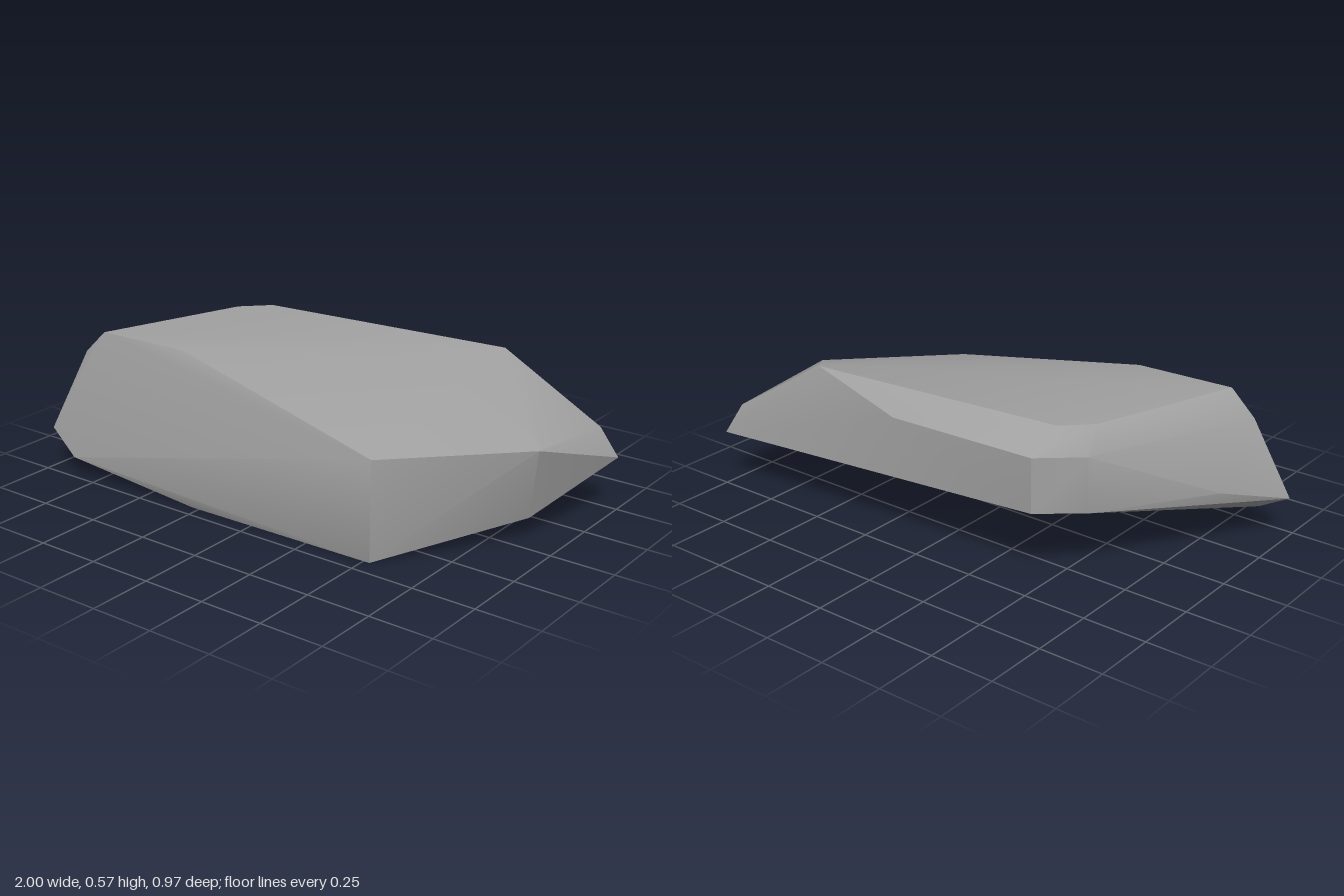
import * as THREE from 'three';
import { ConvexGeometry } from 'three/addons/geometries/ConvexGeometry.js';
import { toCreasedNormals } from 'three/addons/utils/BufferGeometryUtils.js';

export function createModel() {
  const stone = new THREE.MeshStandardMaterial({ color: 0xa0a0a0 });
  stone.name = 'grey stone';

  // Corners of the faceted slab, ring by ring
  const top = [
    [-0.78, 0.575, 0.365], [-0.39, 0.575, 0.35], [0.55, 0.575, -0.4],
    [-0.49, 0.575, -0.31], [-0.59, 0.575, -0.21],
  ];
  const shoulder = [
    [-0.88, 0.48, 0.365], [0.525, 0.385, 0.425], [0.94, 0.385, 0.01],
    [0.94, 0.335, -0.445], [0.12, 0.5, -0.47], [-0.47, 0.49, -0.43], [-0.61, 0.483, -0.29],
  ];
  const waist = [
    [-1, 0.16, 0.455], [1, 0.215, -0.485], [-0.47, 0.28, -0.43],
    [-0.61, 0.27, -0.29], [-0.87, 0.25, 0.17],
  ];
  const base = [
    [-0.86, 0.075, 0.485], [-0.28, 0, 0.445], [0.525, 0, 0.43],
    [0.88, 0.095, -0.05], [0.2, 0, 0.18],
  ];
  const corners = [...top, ...shoulder, ...waist, ...base].map((p) => new THREE.Vector3(...p));

  // Soft facets with sharp main ridges
  const geometry = toCreasedNormals(new ConvexGeometry(corners), THREE.MathUtils.degToRad(32));
  const rock = new THREE.Mesh(geometry, stone);
  rock.name = 'rock';

  const group = new THREE.Group();
  group.name = 'flatRock';
  group.add(rock);
  return group;
}
